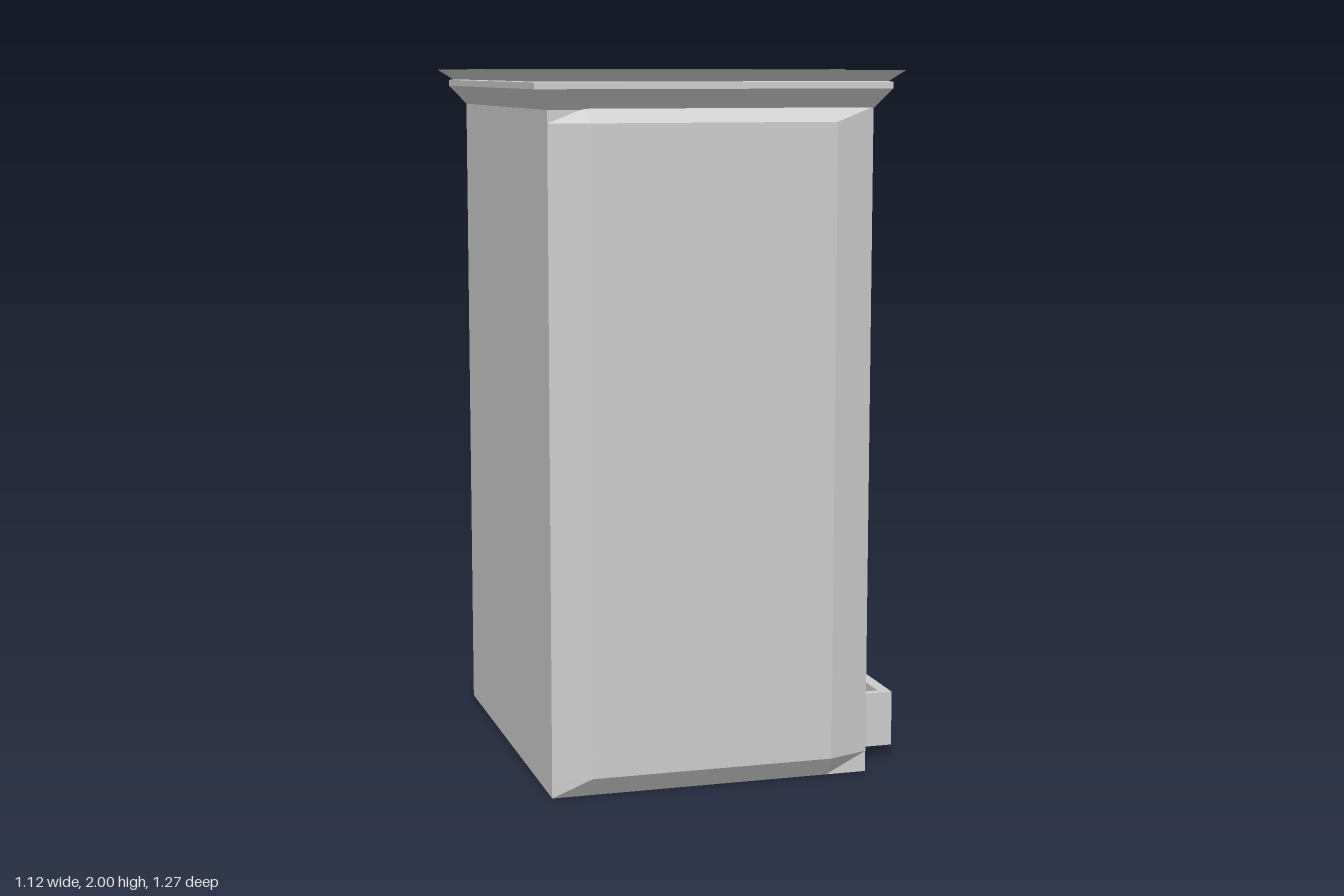
import * as THREE from 'three';
import { RoundedBoxGeometry } from 'three/addons/geometries/RoundedBoxGeometry.js';

const flat = new THREE.MeshStandardMaterial({ color: 0xcccccc, flatShading: true });
const smooth = new THREE.MeshStandardMaterial({ color: 0xcccccc });

function add(parent, name, geometry, material = flat) {
  const mesh = new THREE.Mesh(geometry, material);
  mesh.name = name;
  parent.add(mesh);
  return mesh;
}

function box(parent, name, w, h, d, x, y, z) {
  add(parent, name, new THREE.BoxGeometry(w, h, d)).position.set(x, y, z);
}

// Joins loops of points into a faceted surface; skip leaves one side out.
function loft(sections, { skip = -1, capStart = false, capEnd = false } = {}) {
  const points = [];
  const n = sections[0].length;
  for (let s = 0; s < sections.length - 1; s++) {
    const a = sections[s], b = sections[s + 1];
    for (let i = 0; i < n; i++) {
      if (i === skip) continue;
      const j = (i + 1) % n;
      points.push(a[i], a[j], b[j], a[i], b[j], b[i]);
    }
  }
  const cap = (loop, flip) => {
    const c = loop.reduce((sum, p) => sum.add(p), new THREE.Vector3()).divideScalar(n);
    loop.forEach((p, i) => {
      const q = loop[(i + 1) % n];
      points.push(c, flip ? q : p, flip ? p : q);
    });
  };
  if (capStart) cap(sections[0], true);
  if (capEnd) cap(sections[sections.length - 1], false);
  const geometry = new THREE.BufferGeometry().setFromPoints(points);
  geometry.computeVertexNormals();
  return geometry;
}

const V = (x, y, z) => new THREE.Vector3(x, y, z);

// Horizontal body outline, with z reaching zMid between the corner chamfers
const bodyLoop = (y, zMid) => [
  V(-0.49, y, 0.555), V(-0.385, y, zMid), V(0.315, y, zMid), V(0.435, y, 0.555),
  V(0.435, y, -0.555), V(0.315, y, -zMid), V(-0.385, y, -zMid), V(-0.49, y, -0.555),
];
const roofLoop = ([x0, x1, z0, z1, y]) => [V(x0, y, z1), V(x1, y, z1), V(x1, y, z0), V(x0, y, z0)];
const cavityLoop = ([x, y0, y1, z0, z1]) => [V(x, y0, z1), V(x, y0, z0), V(x, y1, z0), V(x, y1, z1)];

function buildCabinet(group) {
  // Chamfered shell, open on the +x side
  add(group, 'cabinetBody', loft(
    [bodyLoop(0, 0.555), bodyLoop(0.06, 0.6), bodyLoop(1.86, 0.6), bodyLoop(1.9, 0.555)],
    { skip: 3, capStart: true, capEnd: true }));

  // Face frame around the opening
  const rect = (Type, x0, x1, y0, y1) => new Type([
    new THREE.Vector2(x0, y0), new THREE.Vector2(x1, y0),
    new THREE.Vector2(x1, y1), new THREE.Vector2(x0, y1)]);
  const frame = rect(THREE.Shape, -0.555, 0.555, 0, 1.9);
  frame.holes.push(rect(THREE.Path, -0.445, 0.43, 0.325, 1.835));
  add(group, 'openingFrame', new THREE.ShapeGeometry(frame).rotateY(Math.PI / 2).translate(0.435, 0, 0));

  // Bevelled opening and interior walls
  add(group, 'interior', loft([
    [0.435, 0.325, 1.835, -0.43, 0.445],
    [0.385, 0.395, 1.76, -0.39, 0.405],
    [-0.44, 0.395, 1.76, -0.39, 0.405],
  ].map(cavityLoop), { capEnd: true }));

  // Cornice, then the stepped panels of the top: x0, x1, z0, z1, y
  add(group, 'roof', loft([
    [-0.49, 0.435, -0.555, 0.555, 1.895],
    [-0.535, 0.475, -0.6, 0.6, 1.95],
    [-0.535, 0.475, -0.6, 0.6, 1.968],
    [-0.525, 0.465, -0.59, 0.59, 1.97],
    [-0.565, 0.5, -0.635, 0.632, 2],
    [-0.52, 0.455, -0.583, 0.583, 2],
    [-0.52, 0.455, -0.583, 0.583, 1.985],
    [-0.48, 0.405, -0.535, 0.54, 1.985],
    [-0.48, 0.405, -0.535, 0.54, 1.998],
    [-0.335, 0.275, -0.43, 0.403, 1.998],
    [-0.305, 0.245, -0.4, 0.37, 1.97],
    [-0.247, 0.195, -0.343, 0.315, 1.97],
    [-0.232, 0.182, -0.33, 0.302, 1.99],
    [-0.165, 0.12, -0.268, 0.236, 1.99],
    [-0.152, 0.107, -0.255, 0.223, 1.97],
    [-0.1, 0.062, -0.205, 0.17, 1.97],
    [-0.09, 0.05, -0.182, 0.148, 1.99],
  ].map(roofLoop), { capStart: true, capEnd: true }));
}

// Open-topped drawer pulled out of the base
function buildDrawer(group, z) {
  const drawer = new THREE.Group();
  drawer.name = 'drawer';
  drawer.position.set(0, 0, z);
  box(drawer, 'drawerFront', 0.035, 0.16, 0.378, 0.5425, 0.115, 0);
  box(drawer, 'drawerBottom', 0.09, 0.025, 0.378, 0.48, 0.0475, 0);
  for (const s of [-1, 1]) box(drawer, 'drawerSide', 0.09, 0.16, 0.025, 0.48, 0.115, s * 0.1765);
  group.add(drawer);
}

// Rod with a rounded bag hanging from two looped straps
function buildHangingBag(group, rodY, bagTop, bagZ, strapZ) {
  const x = -0.175;
  add(group, 'rod', new THREE.CylinderGeometry(0.043, 0.043, 0.795, 24).rotateX(Math.PI / 2), smooth)
    .position.set(x, rodY, 0.0075);
  add(group, 'bag', new RoundedBoxGeometry(0.21, 0.225, 0.462, 4, 0.035), smooth)
    .position.set(x, bagTop - 0.1125, bagZ);
  const r = 0.057;
  const path = [V(-r, bagTop - 0.02, 0)];
  for (let i = 0; i <= 8; i++) {
    const a = Math.PI * (1 - i / 8);
    path.push(V(r * Math.cos(a), rodY + r * Math.sin(a), 0));
  }
  path.push(V(r, bagTop - 0.02, 0));
  const strap = new THREE.TubeGeometry(new THREE.CatmullRomCurve3(path), 32, 0.012, 8);
  for (const z of strapZ) add(group, 'bagStrap', strap, smooth).position.set(x, 0, z);
}

// Tilted, open-topped crate
function buildCrate(group) {
  const crate = new THREE.Group();
  crate.name = 'crate';
  const s = 0.36, t = 0.006, e = (s - t) / 2;
  box(crate, 'crateBottom', s, t, s, 0, -e, 0);
  for (const k of [-1, 1]) {
    box(crate, 'crateWall', t, s, s, k * e, 0, 0);
    box(crate, 'crateEnd', s, s, t, 0, 0, k * e);
  }
  const up = V(0.06, 0.35, -0.02).normalize();
  const side = V(0.09, 0.01, 0.355);
  const out = new THREE.Vector3().crossVectors(up, side).normalize();
  side.crossVectors(out, up);
  crate.quaternion.setFromRotationMatrix(new THREE.Matrix4().makeBasis(out, up, side));
  crate.position.set(-0.05, 0.622, -0.165);
  group.add(crate);
}

// Round-edged discs stacked on the cavity floor: radius, y, x, z
function buildDiscs(group) {
  const discs = [[0.15, 0.412, 0.08, 0.043], [0.243, 0.45, 0.07, 0.155], [0.235, 0.492, 0.07, 0.165]];
  for (const [r, y, x, z] of discs) {
    const h = 0.02;
    const profile = [new THREE.Vector2(0, -h)];
    for (let i = 0; i <= 8; i++) {
      const a = Math.PI * (i / 8 - 0.5);
      profile.push(new THREE.Vector2(r - h + h * Math.cos(a), h * Math.sin(a)));
    }
    profile.push(new THREE.Vector2(0, h));
    add(group, 'disc', new THREE.LatheGeometry(profile, 40), smooth).position.set(x, y, z);
  }
}

export function createModel() {
  const group = new THREE.Group();
  group.name = 'cabinet';
  buildCabinet(group);
  buildDrawer(group, 0.25);
  buildDrawer(group, -0.246);
  buildHangingBag(group, 1.64, 1.53, -0.153, [-0.055, -0.245]);
  buildHangingBag(group, 1.18, 1.07, 0.16, [0.258, 0.07]);
  buildCrate(group);
  buildDiscs(group);
  return group;
}
